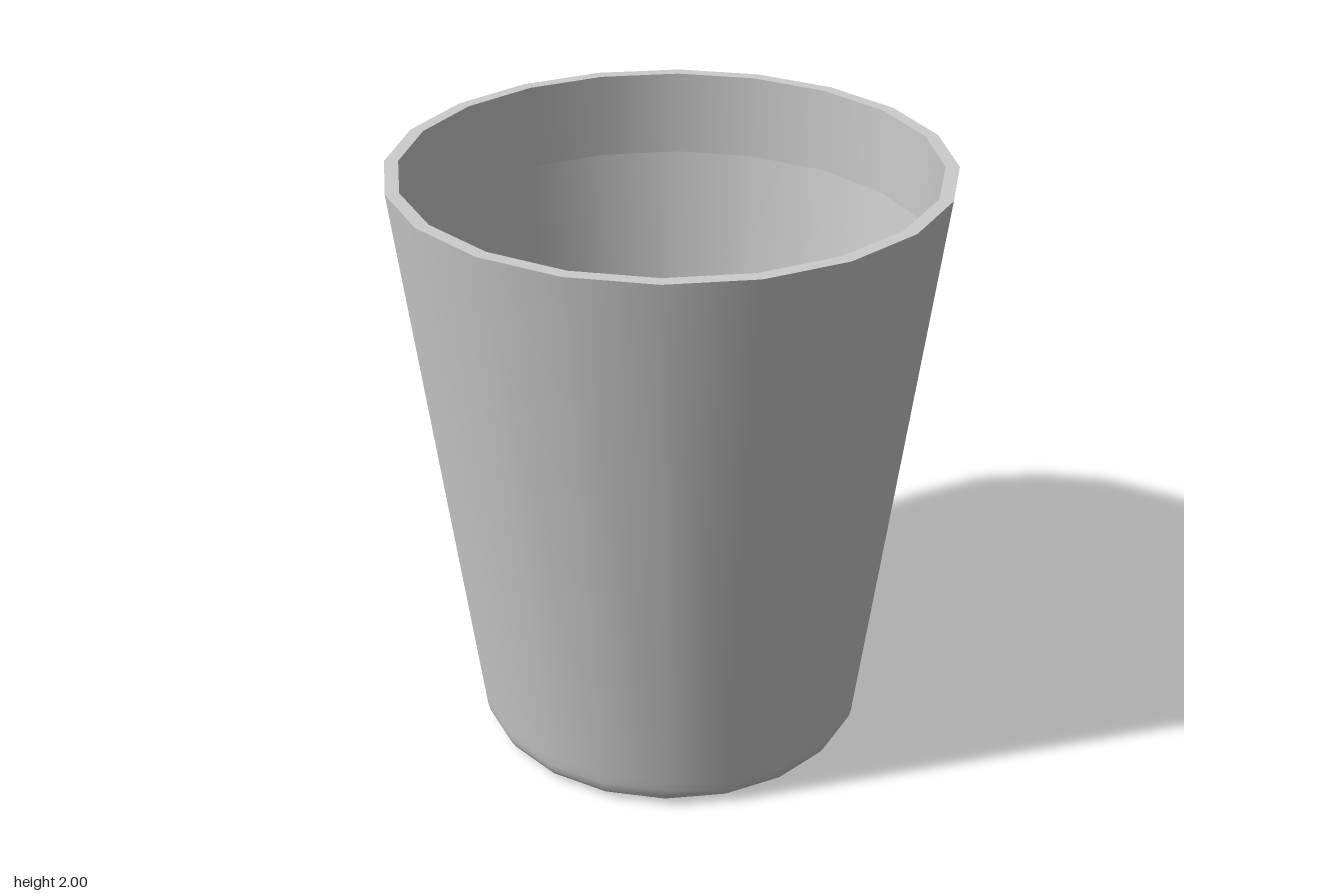
import * as THREE from 'three';

const SIDES = 20;
const material = new THREE.MeshStandardMaterial({ color: 0xcccccc, side: THREE.DoubleSide });

// Revolves a profile of [radius, height] pairs around the y axis
function revolve(name, profile) {
  const points = profile.map(([r, y]) => new THREE.Vector2(r, y));
  const mesh = new THREE.Mesh(new THREE.LatheGeometry(points, SIDES), material);
  mesh.name = name;
  return mesh;
}

export function createModel() {
  const cup = new THREE.Group();
  cup.name = 'cup';

  const rimOuter = 0.892, rimInner = 0.848, top = 2, lipBottom = 1.715;

  // Thin tapered shell with a rounded foot and a flat base
  cup.add(revolve('body', [
    [0, 0], [0.57, 0], [0.595, 0.002], [0.622, 0.01], [0.642, 0.026],
    [0.655, 0.048], [0.662, 0.075], [0.666, 0.11], [rimOuter, top],
  ]));

  // Flat ring on top of the wall
  cup.add(revolve('rim', [[rimOuter, top], [rimInner, top]]));

  // Upright band hanging from the rim down to the tapered wall
  cup.add(revolve('innerLip', [[rimInner, top], [rimInner, lipBottom]]));

  return cup;
}
